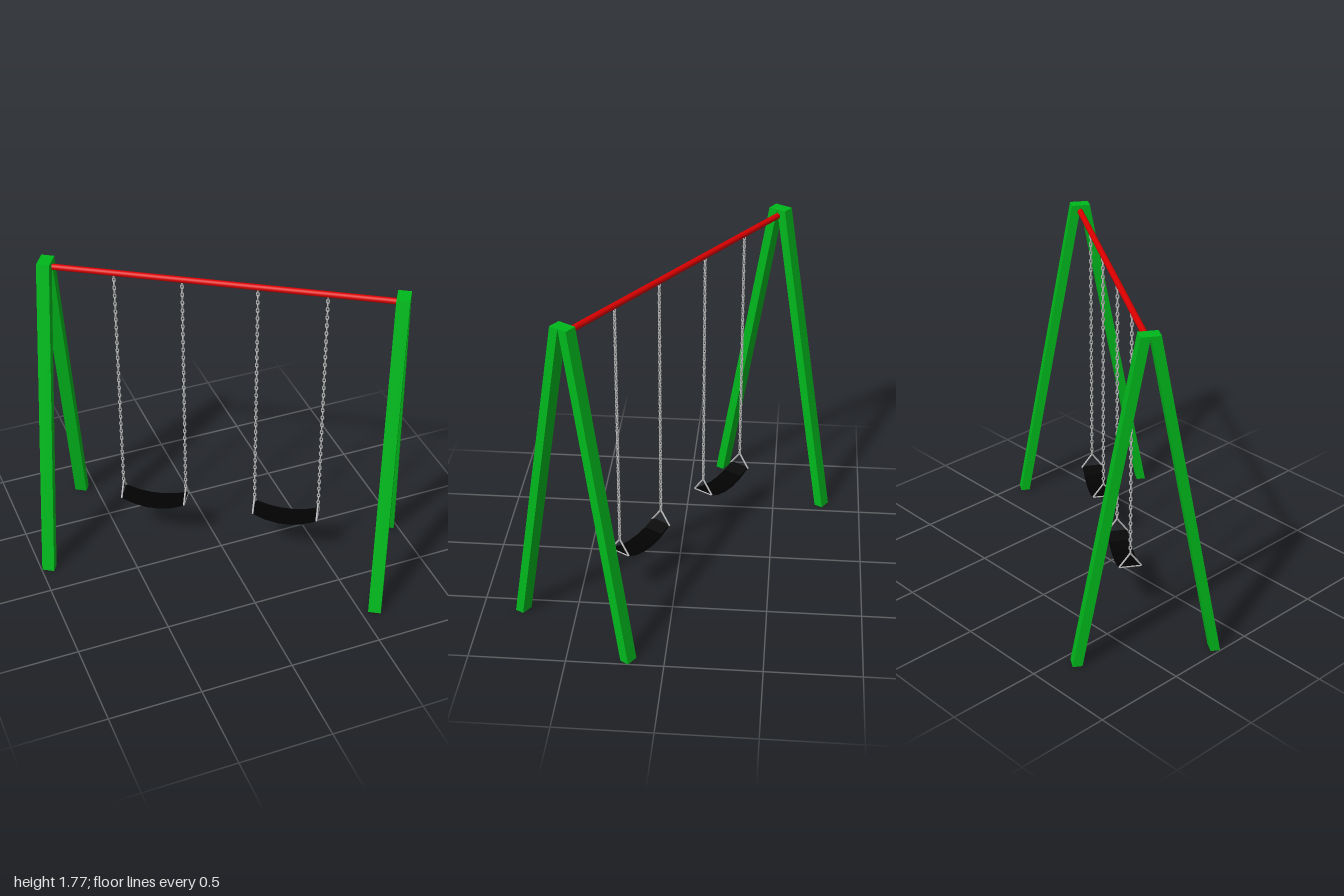
import * as THREE from 'three';
import { mergeGeometries } from 'three/addons/utils/BufferGeometryUtils.js';

const H = 1.774, BAR_Y = 1.737, HANG_Z = -0.008;

const mat = (name, color) => {
  const m = new THREE.MeshStandardMaterial({ color });
  m.name = name;
  return m;
};

// Square post leaning outward, cut level at foot and top
function legGeometry(side) {
  const g = new THREE.BoxGeometry(0.068, H, 0.05).translate(0, H / 2, 0);
  const p = g.attributes.position;
  for (let i = 0; i < p.count; i++) {
    const t = p.getY(i) / H;
    p.setZ(i, p.getZ(i) + side * THREE.MathUtils.lerp(0.355, 0.025, t));
  }
  g.computeVertexNormals();
  return g;
}

// Interlocked oval links, every second one turned a quarter
function chainGeometry(bottom, top) {
  const links = [], n = 56, pitch = (top - bottom) / n;
  for (let i = 0; i < n; i++) {
    const link = new THREE.TorusGeometry(0.0068, 0.0036, 6, 12);
    link.scale(1, 1.65, 1).rotateY((i % 2) * Math.PI / 2);
    link.translate(0, bottom + (i + 0.5) * pitch, 0);
    links.push(link);
  }
  return mergeGeometries(links);
}

// Straight wire between two points
function wireGeometry(a, b, r) {
  return new THREE.TubeGeometry(new THREE.LineCurve3(a, b), 1, r, 8);
}

// Triangular hanger: apex on the chain, base along the seat end
function hangerGeometry() {
  const c = [[0.388, 0], [0.308, 0.059], [0.308, -0.059]].map(([y, z]) => new THREE.Vector3(0, y, z));
  return mergeGeometries(c.map((p, i) => wireGeometry(p, c[(i + 1) % 3], 0.005)));
}

// Sagging belt seat, extruded across its width
function seatGeometry() {
  const half = 0.178, n = 5, top = [], under = [];
  for (let i = 0; i <= n; i++) {
    const u = (i / n) * 2 - 1, bow = 1 - u * u;
    top.push(new THREE.Vector2(u * half, 0.314 - 0.035 * bow));
    under.push(new THREE.Vector2(u * half, 0.303 - 0.047 * bow));
  }
  const shape = new THREE.Shape([...under, ...top.reverse()]);
  return new THREE.ExtrudeGeometry(shape, { depth: 0.11, bevelEnabled: false }).translate(0, 0, -0.055);
}

export function createModel() {
  const green = mat('green paint', 0x00b81c);
  const red = mat('red paint', 0xdc0000);
  const black = mat('black rubber', 0x020202);
  const steel = mat('bright steel', 0xb8b8b8);

  const model = new THREE.Group();
  model.name = 'swingSet';
  const add = (parent, name, geometry, material, x = 0, y = 0, z = 0) => {
    const m = new THREE.Mesh(geometry, material);
    m.name = name;
    m.position.set(x, y, z);
    parent.add(m);
  };

  // Whole set stands turned on its spot
  const set = new THREE.Group();
  set.name = 'turnedSet';
  set.rotation.y = -THREE.MathUtils.degToRad(32.2);
  model.add(set);

  // A-frames
  for (const [side, x] of [['left', 0.909], ['right', -0.905]]) {
    add(set, side + 'FrontLeg', legGeometry(1), green, x);
    add(set, side + 'BackLeg', legGeometry(-1), green, x);
  }

  // Crossbar
  const bar = new THREE.CylinderGeometry(0.016, 0.016, 1.775, 24).rotateZ(Math.PI / 2);
  add(set, 'crossbar', bar, red, 0.002, BAR_Y, -0.004);

  // Two swings
  const chain = chainGeometry(0.384, BAR_Y - 0.008);
  const hanger = hangerGeometry();
  const seat = seatGeometry();
  for (const [side, x] of [['left', 0.361], ['right', -0.377]]) {
    const swing = new THREE.Group();
    swing.name = side + 'Swing';
    swing.position.set(x, 0, HANG_Z);
    set.add(swing);
    add(swing, 'seat', seat, black);
    for (const s of [-1, 1]) {
      add(swing, 'chain', chain, steel, s * 0.176);
      add(swing, 'hanger', hanger, steel, s * 0.176);
    }
  }
  return model;
}
